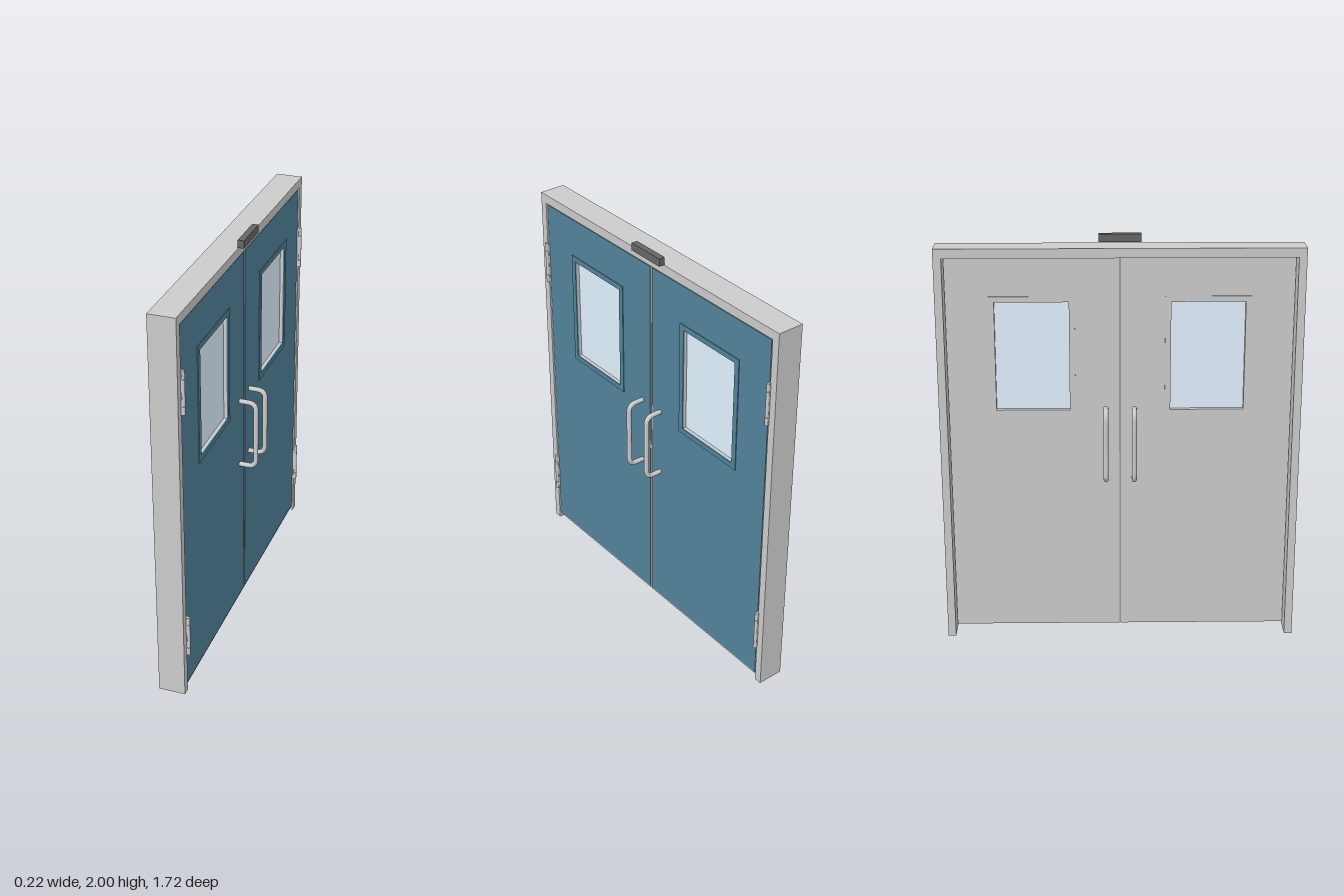
import * as THREE from 'three';

const GREY = new THREE.MeshStandardMaterial({ color: 0xcccccc });
const BLUE = new THREE.MeshStandardMaterial({ color: 0x52839a });
const GLASS = new THREE.MeshStandardMaterial({ color: 0xe2f2ff });
const DARK = new THREE.MeshStandardMaterial({ color: 0x666666 });
const SEAL = new THREE.MeshStandardMaterial({ color: 0xa89690 });

function add(parent, name, geometry, material) {
  const mesh = new THREE.Mesh(geometry, material);
  mesh.name = name;
  parent.add(mesh);
  return mesh;
}

// Box given by its limits on each axis
function box(parent, name, [x0, x1], [y0, y1], [z0, z1], material) {
  const mesh = add(parent, name, new THREE.BoxGeometry(x1 - x0, y1 - y0, z1 - z0), material);
  mesh.position.set((x0 + x1) / 2, (y0 + y1) / 2, (z0 + z1) / 2);
  return mesh;
}

function trace(path, [z0, z1], [y0, y1]) {
  path.moveTo(z0, y0);
  path.lineTo(z1, y0);
  path.lineTo(z1, y1);
  path.lineTo(z0, y1);
  path.closePath();
  return path;
}

// Upright slab with a rectangular opening, facing along x
function slab(parent, name, [x0, x1], outer, hole, material) {
  const shape = trace(new THREE.Shape(), ...outer);
  shape.holes.push(trace(new THREE.Path(), ...hole));
  const geometry = new THREE.ExtrudeGeometry(shape, { depth: x1 - x0, bevelEnabled: false });
  geometry.rotateY(Math.PI / 2);
  geometry.translate(x0, 0, 0);
  return add(parent, name, geometry, material);
}

// D-shaped pull bar with rounded corners, standing off a face at x0
function pullHandle(parent, name, x0, x1, z) {
  const low = 0.815, high = 1.163, r = 0.04, s = Math.sign(x1 - x0);
  const p = (x, y) => new THREE.Vector3(x, y, z);
  const path = new THREE.CurvePath();
  path.add(new THREE.LineCurve3(p(x0, low), p(x1 - s * r, low)));
  path.add(new THREE.QuadraticBezierCurve3(p(x1 - s * r, low), p(x1, low), p(x1, low + r)));
  path.add(new THREE.LineCurve3(p(x1, low + r), p(x1, high - r)));
  path.add(new THREE.QuadraticBezierCurve3(p(x1, high - r), p(x1, high), p(x1 - s * r, high)));
  path.add(new THREE.LineCurve3(p(x1 - s * r, high), p(x0, high)));
  add(parent, name, new THREE.TubeGeometry(path, 80, 0.012, 12), GREY);
}

// Three-knuckle hinge with a thin leaf behind the pin
function hinge(parent, y0, side) {
  const group = new THREE.Group();
  group.name = 'hinge';
  const z = side * 0.817;
  const cuts = [0, 0.042, 0.173, 0.215];
  for (let i = 0; i < 3; i++) {
    const h = cuts[i + 1] - cuts[i] - 0.002;
    const knuckle = add(group, 'hingeKnuckle', new THREE.CylinderGeometry(0.008, 0.008, h, 16), GREY);
    knuckle.position.set(0.029, y0 + (cuts[i] + cuts[i + 1]) / 2, z);
  }
  box(group, 'hingeLeaf', [0.012, 0.024], [y0, y0 + 0.215], [z - 0.007, z + 0.007], GREY);
  parent.add(group);
}

function doorLeaf(side) {
  const door = new THREE.Group();
  door.name = side > 0 ? 'frontDoor' : 'rearDoor';
  // The slab plane runs along -z, so spans are flipped here
  const span = (a, b) => (side > 0 ? [-b, -a] : [a, b]);
  const opening = [span(0.24, 0.59), [1.16, 1.69]];
  const trim = [span(0.213, 0.617), [1.133, 1.717]];

  slab(door, 'doorCore', [-0.03, 0.013], [span(0.004, 0.818), [0.025, 1.912]], opening, GREY);
  slab(door, 'doorFacing', [0.013, 0.016], [span(0.008, 0.811), [0.035, 1.908]], opening, BLUE);
  slab(door, 'windowTrimOuter', [0.016, 0.02], trim, opening, BLUE);
  slab(door, 'windowTrimInner', [-0.035, -0.03], trim, opening, GREY);
  const zs = side > 0 ? [0.24, 0.59] : [-0.59, -0.24];
  box(door, 'windowGlass', [-0.012, -0.002], [1.16, 1.69], zs, GLASS);

  pullHandle(door, 'outerHandle', 0.014, 0.098, side * 0.068);
  pullHandle(door, 'innerHandle', -0.028, -0.103, side * 0.068);
  hinge(door, 0.21, side);
  hinge(door, 1.49, side);
  return door;
}

export function createModel() {
  const model = new THREE.Group();
  model.name = 'doubleDoor';

  // Frame
  const depth = [-0.11, 0.02];
  box(model, 'jamb', depth, [0, 1.915], [0.82, 0.858], GREY);
  box(model, 'jamb', depth, [0, 1.915], [-0.858, -0.82], GREY);
  box(model, 'header', depth, [1.915, 1.96], [-0.858, 0.858], GREY);

  // Doors and the seal between them
  for (const side of [1, -1]) model.add(doorLeaf(side));
  box(model, 'meetingSeal', [-0.028, 0.012], [0.027, 1.91], [-0.004, 0.004], SEAL);

  // Sensor box above the header
  box(model, 'sensor', [0.018, 0.048], [1.962, 2], [-0.1, 0.1], DARK);
  return model;
}
